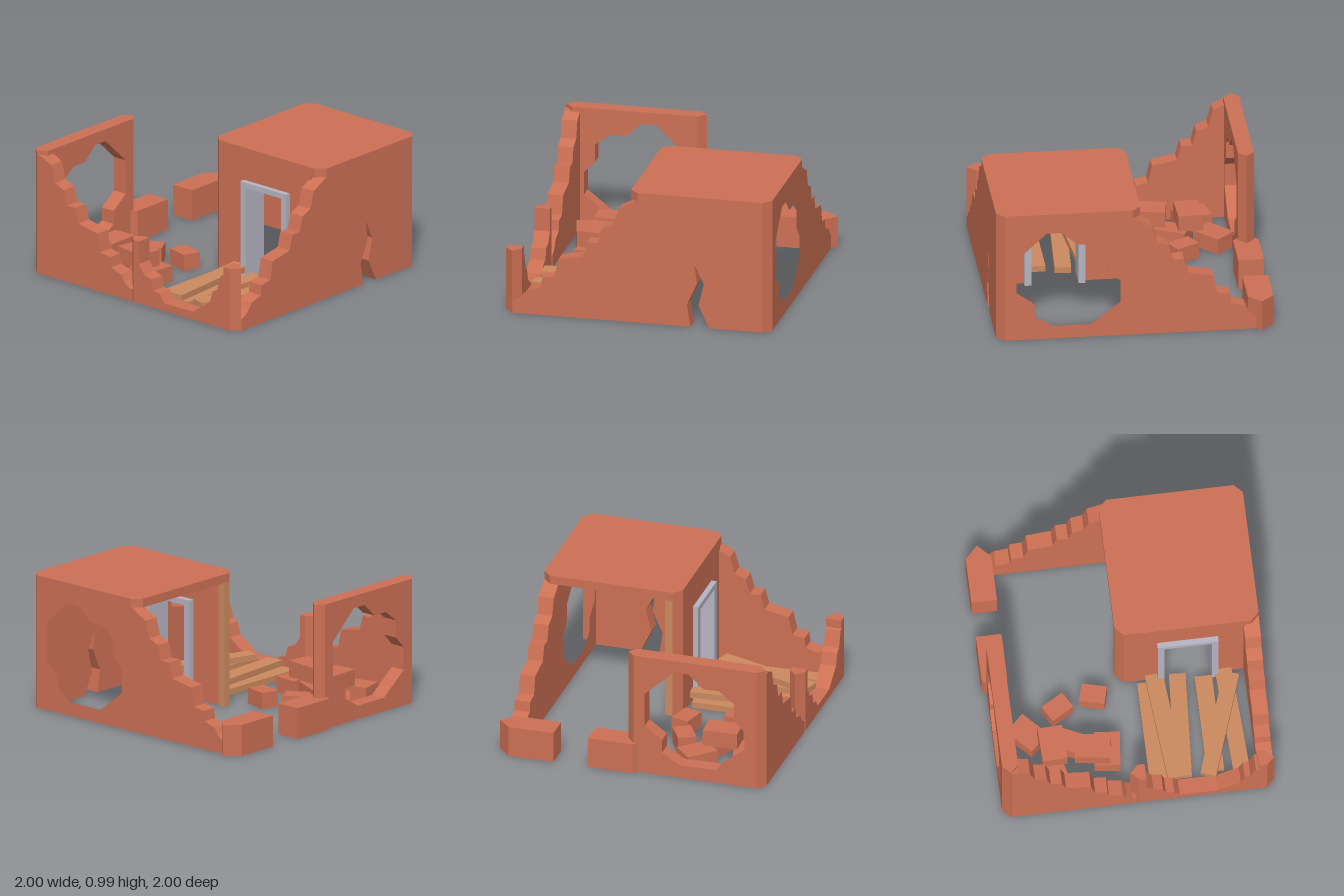
import * as THREE from 'three';

const clay = new THREE.MeshStandardMaterial({ color: 0xcc7054, flatShading: true });
const wood = new THREE.MeshStandardMaterial({ color: 0xca895f, flatShading: true });
const metal = new THREE.MeshStandardMaterial({ color: 0xb5b4c1, flatShading: true });

// Crumbled edge: distance from the intact part, height
const STEPS = [
  [0.04, 0.89], [0.12, 0.85], [0.155, 0.725], [0.24, 0.69], [0.27, 0.58], [0.35, 0.58], [0.38, 0.47],
  [0.56, 0.435], [0.59, 0.30], [0.68, 0.285], [0.69, 0.21], [0.79, 0.18], [0.82, 0.135], [0.86, 0.1],
];
// Ragged hole blown through a wall: along, height
const HOLE = [
  [0.64, 0.835], [0.53, 0.835], [0.42, 0.735], [0.30, 0.735], [0.19, 0.65], [0.19, 0.52], [0.11, 0.435],
  [0.11, 0.265], [0.32, 0.1], [0.60, 0.1], [0.73, 0.18], [0.73, 0.28], [0.86, 0.375], [0.86, 0.63],
];

export function createModel() {
  const model = new THREE.Group();
  model.name = 'ruinedHouse';

  const add = (name, geometry, material) => {
    const mesh = new THREE.Mesh(geometry, material);
    mesh.name = name;
    model.add(mesh);
    return mesh;
  };
  const extrude = (points, depth, hole) => {
    const toVectors = (list) => list.map(([a, b]) => new THREE.Vector2(a, b));
    const shape = new THREE.Shape(toVectors(points));
    if (hole) shape.holes.push(new THREE.Path(toVectors(hole)));
    return new THREE.ExtrudeGeometry(shape, { depth, bevelEnabled: false });
  };
  // Wall along x from an (x, y) outline
  const wallX = (name, outline, z0, z1, hole) =>
    add(name, extrude(outline, z1 - z0, hole).translate(0, 0, z0), clay);
  // Wall along z from a (z, y) outline
  const wallZ = (name, outline, x0, x1, hole) => {
    const flip = (list) => list && list.map(([z, y]) => [-z, y]);
    const geometry = extrude(flip(outline), x1 - x0, flip(hole));
    return add(name, geometry.rotateY(Math.PI / 2).translate(x0, 0, 0), clay);
  };
  // Upright prism from an (x, z) plan
  const prism = (name, plan, y0, y1, material = clay) => {
    const geometry = extrude(plan.map(([x, z]) => [x, -z]), y1 - y0);
    return add(name, geometry.rotateX(-Math.PI / 2).translate(0, y0, 0), material);
  };
  const box = (name, size, position, material, angle = 0) => {
    const mesh = add(name, new THREE.BoxGeometry(...size), material);
    mesh.position.set(...position);
    mesh.rotation.y = THREE.MathUtils.degToRad(angle);
    return mesh;
  };

  // Front wall with a crack rising from the ground
  wallX('frontWall', [
    [-0.94, 0], [0.37, 0], [0.345, 0.165], [0.42, 0.33], [0.40, 0.475], [0.47, 0.33], [0.43, 0.165], [0.51, 0],
    [0.9, 0], [0.9, 0.95], [-0.02, 0.95], [-0.02, 0.925],
    ...STEPS.map(([d, y]) => [-0.04 - d, y]), [-0.94, 0.085],
  ], 0.885, 1);

  // Side wall with a ragged hole, and the chamfered corner joining it to the front
  wallZ('rightWall', [
    [-0.88, 0], [0.94, 0], [0.94, 0.95], [0.02, 0.95], [0.02, 0.925],
    ...STEPS.map(([d, y]) => [-d, y]), [-0.88, 0.09],
  ], 0.845, 0.96, HOLE);
  prism('frontCorner', [[0.9, 1], [0.96, 0.94], [0.9, 0.94]], 0, 0.95);

  // Crumbling left wall: rear slope, low front run and two broken posts
  wallZ('leftRearWall', [
    [0, 0], [-0.905, 0], [-0.905, 0.9], ...STEPS.map(([d, y]) => [d - 0.89, y]), [0, 0.09],
  ], -1, -0.885);
  wallZ('leftFrontWall', [
    [0.02, 0], [0.92, 0], [0.92, 0.42], [0.86, 0.40], [0.82, 0.28], [0.78, 0.26], [0.75, 0.17], [0.72, 0.15],
    [0.63, 0.09], [0.59, 0.06], [0.31, 0.06], [0.27, 0.12], [0.21, 0.13], [0.19, 0.21], [0.12, 0.23],
    [0.07, 0.3], [0.02, 0.3],
  ], -1, -0.885);
  prism('middlePost', [[-0.9425, -0.04], [-1, 0.02], [-1, 0.07], [-0.885, 0.07], [-0.885, 0.02]], 0, 0.47);
  prism('cornerPost', [[-0.9425, 1], [-1, 0.94], [-1, 0.88], [-0.885, 0.88], [-0.885, 0.94]], 0, 0.47);

  // Back wall with a matching hole and pointed ends
  wallX('backWall', [[-0.945, 0], [-0.02, 0], [-0.02, 0.925], [-0.945, 0.925]], -0.965, -0.85,
    HOLE.map(([a, y]) => [a - 0.965, y]));
  for (const [x, tip] of [[-0.945, -1], [-0.02, 0.035]]) {
    prism('backWallEnd', [[x, -0.965], [tip, -0.9075], [x, -0.85]], 0, 0.925);
  }

  // Low wall stubs either side of the rear gap
  prism('rearStub', [[-0.06, -0.96], [-0.02, -1], [0.31, -1], [0.31, -0.815], [-0.02, -0.815], [-0.06, -0.855]], 0, 0.23);
  prism('rearCornerStub', [[0.57, -1], [0.905, -1], [1, -0.9075], [0.905, -0.815], [0.57, -0.815]], 0, 0.23);

  // Roof slab over the remaining room
  prism('roof', [
    [-0.08, 0.02], [-0.02, -0.04], [0.9, -0.04], [0.96, 0.02], [0.96, 0.94], [0.9, 1], [-0.02, 1], [-0.08, 0.94],
  ], 0.92, 0.985);

  // Partition with a doorway, its chamfered end and a timber post
  wallZ('partition', [
    [0.02, 0], [0.26, 0], [0.26, 0.74], [0.7, 0.74], [0.7, 0], [0.9, 0], [0.9, 0.93], [0.02, 0.93],
  ], -0.08, 0.035);
  prism('partitionEnd', [[-0.08, 0.02], [-0.02, -0.04], [-0.02, 0.02]], 0, 0.93);
  prism('partitionPost', [[-0.02, -0.04], [0.035, -0.04], [0.035, 0.02], [-0.02, 0.02]], 0, 0.92, wood);

  // Door frame
  wallZ('doorFrame', [
    [0.26, 0], [0.31, 0], [0.31, 0.7], [0.65, 0.7], [0.65, 0], [0.7, 0], [0.7, 0.74], [0.26, 0.74],
  ], -0.12, 0.08).material = metal;

  // Fallen floor planks: start x, z, end x, z, width, base height
  const planks = [
    [-0.89, 0.175, -0.12, 0.175, 0.13, 0.01], [-0.88, 0.305, -0.08, 0.235, 0.13, 0.055],
    [-0.86, 0.355, -0.08, 0.405, 0.12, 0.01], [-0.84, 0.588, -0.12, 0.588, 0.125, 0.01],
    [-0.88, 0.775, -0.08, 0.735, 0.12, 0.01], [-0.885, 0.53, -0.135, 0.79, 0.115, 0.055],
  ];
  for (const [x0, z0, x1, z1, width, y] of planks) {
    const angle = THREE.MathUtils.radToDeg(Math.atan2(z0 - z1, x1 - x0));
    box('plank', [Math.hypot(x1 - x0, z1 - z0), 0.045, width], [(x0 + x1) / 2, y + 0.0225, (z0 + z1) / 2], wood, angle);
  }

  // Rubble: x, z, width, depth, angle, layer
  const rubble = [
    [-0.755, -0.6, 0.185, 0.25, 14, 0], [-0.42, -0.72, 0.235, 0.18, 44, 0], [-0.565, -0.555, 0.255, 0.18, 2, 1],
    [-0.52, -0.42, 0.155, 0.27, -25, 0], [-0.62, -0.27, 0.18, 0.255, -8, 1], [-0.61, -0.165, 0.255, 0.185, -6, 0],
    [-0.25, -0.48, 0.135, 0.185, 30, 0], [-0.183, -0.215, 0.135, 0.185, -15, 0],
  ];
  for (const [x, z, width, depth, angle, layer] of rubble) {
    box('rubble', [width, 0.12, depth], [x, 0.06 + layer * 0.12, z], clay, angle);
  }

  return model;
}
